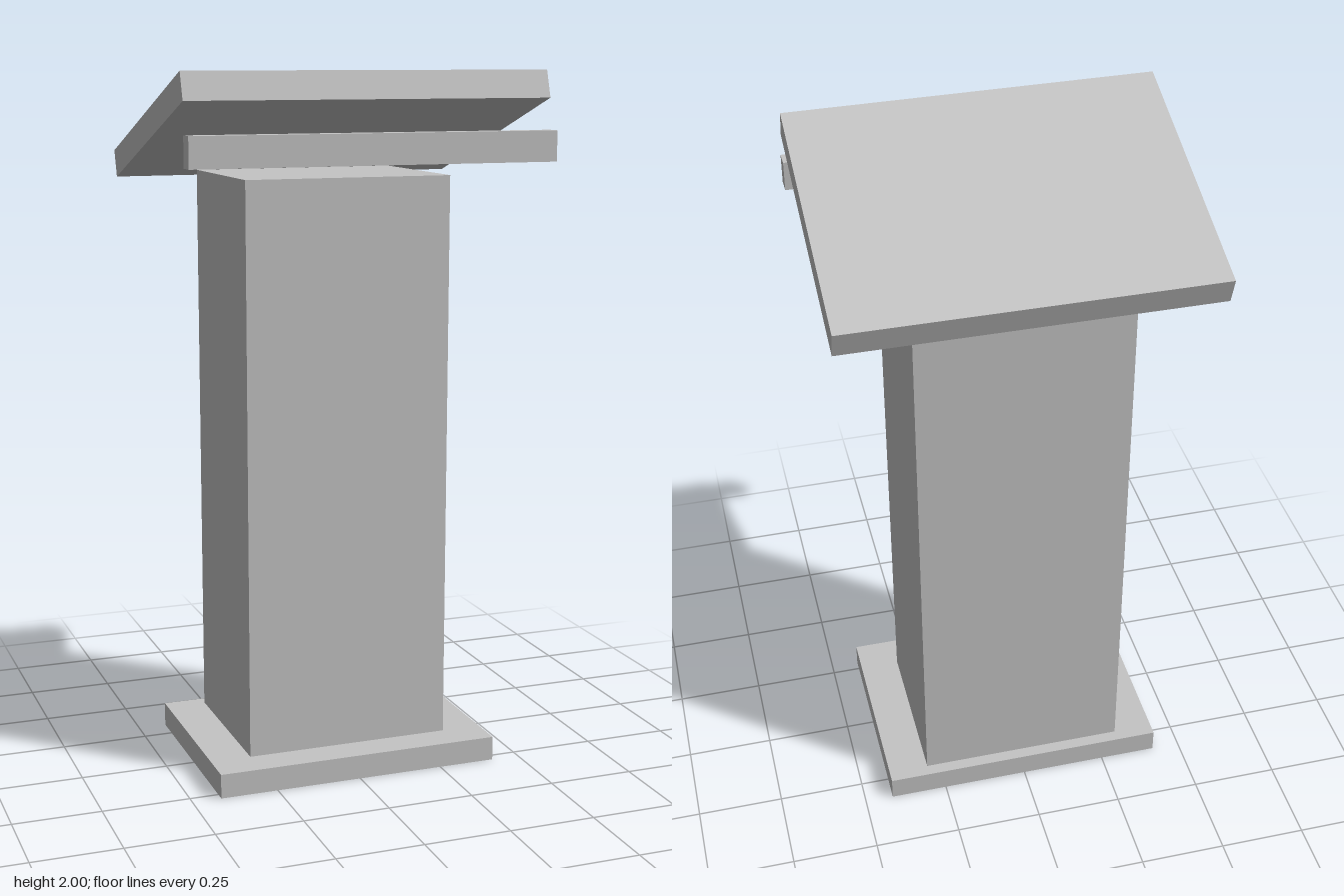
import * as THREE from 'three';

export function createModel() {
  const group = new THREE.Group();
  group.name = 'lectern';
  const grey = new THREE.MeshStandardMaterial({ color: 0xc4c4c4 });
  grey.name = 'light grey';

  function addBox(name, size, position, tilt = 0) {
    const mesh = new THREE.Mesh(new THREE.BoxGeometry(...size), grey);
    mesh.name = name;
    mesh.position.set(...position);
    mesh.rotation.x = tilt;
    group.add(mesh);
  }

  // Foot plate and upright
  addBox('base', [0.834, 0.07, 0.603], [0, 0.035, -0.022]);
  addBox('column', [0.6, 1.64, 0.47], [0, 0.89, -0.054]);

  // Sloping reading board, raised at the front
  addBox('readingBoard', [1.036, 0.079, 0.766], [0, 1.845, -0.023], -0.312);

  // Separate rail in front of the board
  addBox('frontRail', [1.036, 0.084, 0.047], [0, 1.797, 0.377]);

  return group;
}
